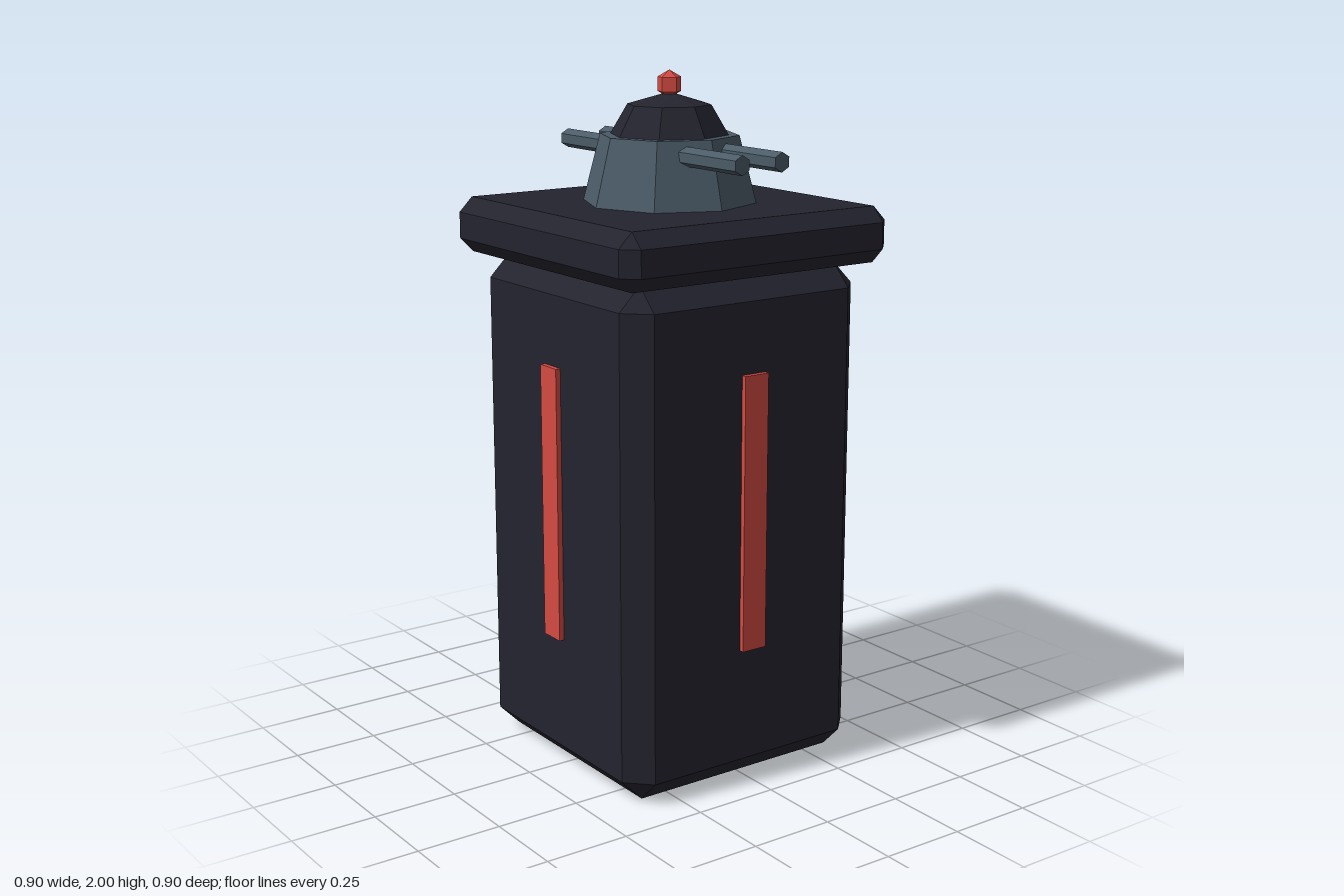
import * as THREE from 'three';
import { ConvexGeometry } from 'three/addons/geometries/ConvexGeometry.js';

const flat = (name, color) => {
  const m = new THREE.MeshStandardMaterial({ color, flatShading: true });
  m.name = name;
  return m;
};

// Box with every edge and corner cut at 45 degrees, standing on y = 0
function chamferedBox(w, h, d, c) {
  const pts = [];
  for (const sx of [-1, 1]) for (const sy of [-1, 1]) for (const sz of [-1, 1]) {
    for (let axis = 0; axis < 3; axis++) {
      const inset = [c, c, c];
      inset[axis] = 0;
      pts.push(new THREE.Vector3(
        sx * (w / 2 - inset[0]), h / 2 + sy * (h / 2 - inset[1]), sz * (d / 2 - inset[2])));
    }
  }
  return new ConvexGeometry(pts);
}

export function createModel() {
  const group = new THREE.Group();
  group.name = 'gunTower';
  const dark = flat('dark armour', 0x24242f);
  const steel = flat('blue grey steel', 0x4b5b67);
  const red = flat('red light', 0xd34b42);

  const add = (name, geometry, material, x = 0, y = 0, z = 0) => {
    const mesh = new THREE.Mesh(geometry, material);
    mesh.name = name;
    mesh.position.set(x, y, z);
    group.add(mesh);
    return mesh;
  };

  // Tower column and overhanging roof slab
  add('column', chamferedBox(0.8, 1.47, 0.8, 0.067), dark);
  add('roofSlab', chamferedBox(0.905, 0.16, 0.905, 0.042), dark, 0, 1.47);

  // One light strip on each side of the column
  for (let i = 0; i < 4; i++) {
    const a = i * Math.PI / 2;
    const strip = add('lightStrip', new THREE.BoxGeometry(0.08, 0.8, 0.03), red,
      Math.sin(a) * 0.4, 0.8, Math.cos(a) * 0.4);
    strip.rotation.y = a;
  }

  // Eight-sided turret with a flattened dome
  add('turretBase', new THREE.CylinderGeometry(0.2, 0.25, 0.19, 8), steel, 0, 1.725);
  const dome = add('turretDome',
    new THREE.SphereGeometry(0.17, 8, 2, 0, Math.PI * 2, 0, Math.PI / 2), dark, 0, 1.82);
  dome.scale.y = 0.7;

  // Twin guns pointing forward and backward
  for (const sx of [-1, 1]) for (const sz of [-1, 1]) {
    const barrel = new THREE.CylinderGeometry(0.0275, 0.0275, 0.33, 6).rotateX(Math.PI / 2);
    add('gunBarrel', barrel, steel, sx * 0.067, 1.777, sz * 0.262);
  }

  // Beacon on top
  const beacon = add('beacon', new THREE.SphereGeometry(0.04, 5, 3), red, 0, 1.96);
  beacon.rotation.y = Math.PI / 2;

  return group;
}
